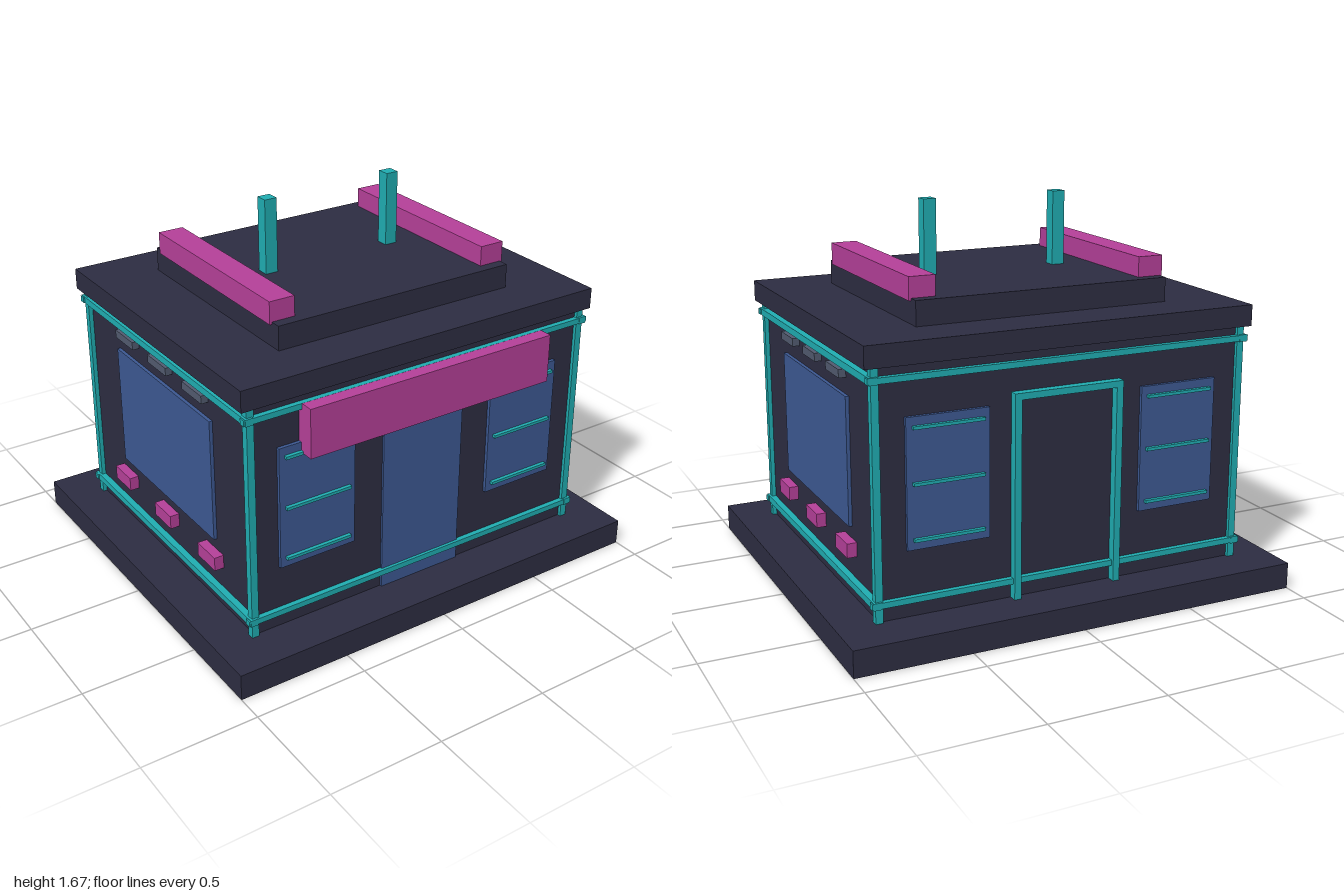
import * as THREE from 'three';

const material = (name, color) => {
  const m = new THREE.MeshStandardMaterial({ color });
  m.name = name;
  return m;
};

export function createModel() {
  const model = new THREE.Group();
  model.name = 'kiosk';
  const dark = material('dark wall', 0x2d2d42);
  const teal = material('teal trim', 0x20adb2);
  const pink = material('pink sign', 0xb54099);
  const blue = material('blue glass', 0x3d5993);
  const grey = material('grey vent', 0x525b70);

  // Box given by its lower and upper limits on each axis
  const box = (name, mat, [x0, x1], [y0, y1], [z0, z1]) => {
    const mesh = new THREE.Mesh(new THREE.BoxGeometry(x1 - x0, y1 - y0, z1 - z0), mat);
    mesh.position.set((x0 + x1) / 2, (y0 + y1) / 2, (z0 + z1) / 2);
    mesh.name = name;
    model.add(mesh);
  };
  // Range around a centre, and a range mirrored to the given side
  const around = (c, size) => [c - size / 2, c + size / 2];
  const toSide = (s, a, b) => (s > 0 ? [a, b] : [-b, -a]);

  // Building mass
  box('base', dark, [-1, 1], [0, 0.115], [-0.88, 0.88]);
  box('walls', dark, [-0.82, 0.82], [0.115, 1.15], [-0.685, 0.685]);
  box('roof', dark, [-0.868, 0.868], [1.148, 1.24], [-0.713, 0.713]);
  box('upperRoof', dark, [-0.57, 0.57], [1.24, 1.345], [-0.5, 0.5]);

  // Front door and sign
  box('frontDoor', blue, [-0.2, 0.2], [0.115, 0.95], [0.68, 0.695]);
  box('frontSign', pink, [-0.598, 0.598], [0.895, 1.11], [0.685, 0.767]);

  // Back door frame
  for (const s of [-1, 1])
    box('backDoorPost', teal, toSide(s, 0.215, 0.245), [0.115, 0.985], [-0.722, -0.685]);
  box('backDoorLintel', teal, [-0.245, 0.245], [0.957, 0.985], [-0.722, -0.685]);

  for (const s of [-1, 1]) {
    // Roof bars and masts
    box('roofBar', pink, toSide(s, 0.465, 0.58), [1.335, 1.432], [-0.453, 0.453]);
    box('mast', teal, toSide(s, 0.278, 0.335), [1.345, 1.67], [-0.028, 0.028]);

    // Side window with vents above and lamps below
    box('sideWindow', blue, toSide(s, 0.81, 0.835), [0.42, 0.965], [-0.402, 0.402]);
    for (const z of [-0.295, 0, 0.295])
      box('vent', grey, toSide(s, 0.81, 0.851), [1.035, 1.07], around(z, 0.157));
    for (const z of [-0.38, 0, 0.38])
      box('sideLamp', pink, toSide(s, 0.81, 0.862), [0.305, 0.366], around(z, 0.14));

    // Horizontal rails around the walls
    for (const y of [0.192, 1.098]) {
      box('longRail', teal, [-0.855, 0.855], around(y, 0.025), toSide(s, 0.68, 0.708));
      box('sideRail', teal, toSide(s, 0.815, 0.849), around(y, 0.03), [-0.71, 0.71]);
    }

    for (const t of [-1, 1]) {
      box('cornerPost', teal, toSide(s, 0.807, 0.839), [0.115, 1.15], toSide(t, 0.668, 0.7));
      // Front and back windows with slats
      box('window', blue, toSide(s, 0.345, 0.7), [0.398, 0.94], toSide(t, 0.68, 0.7));
      for (const y of [0.44, 0.67, 0.898])
        box('slat', teal, toSide(s, 0.37, 0.675), around(y, 0.013), toSide(t, 0.69, 0.716));
    }
  }
  return model;
}
